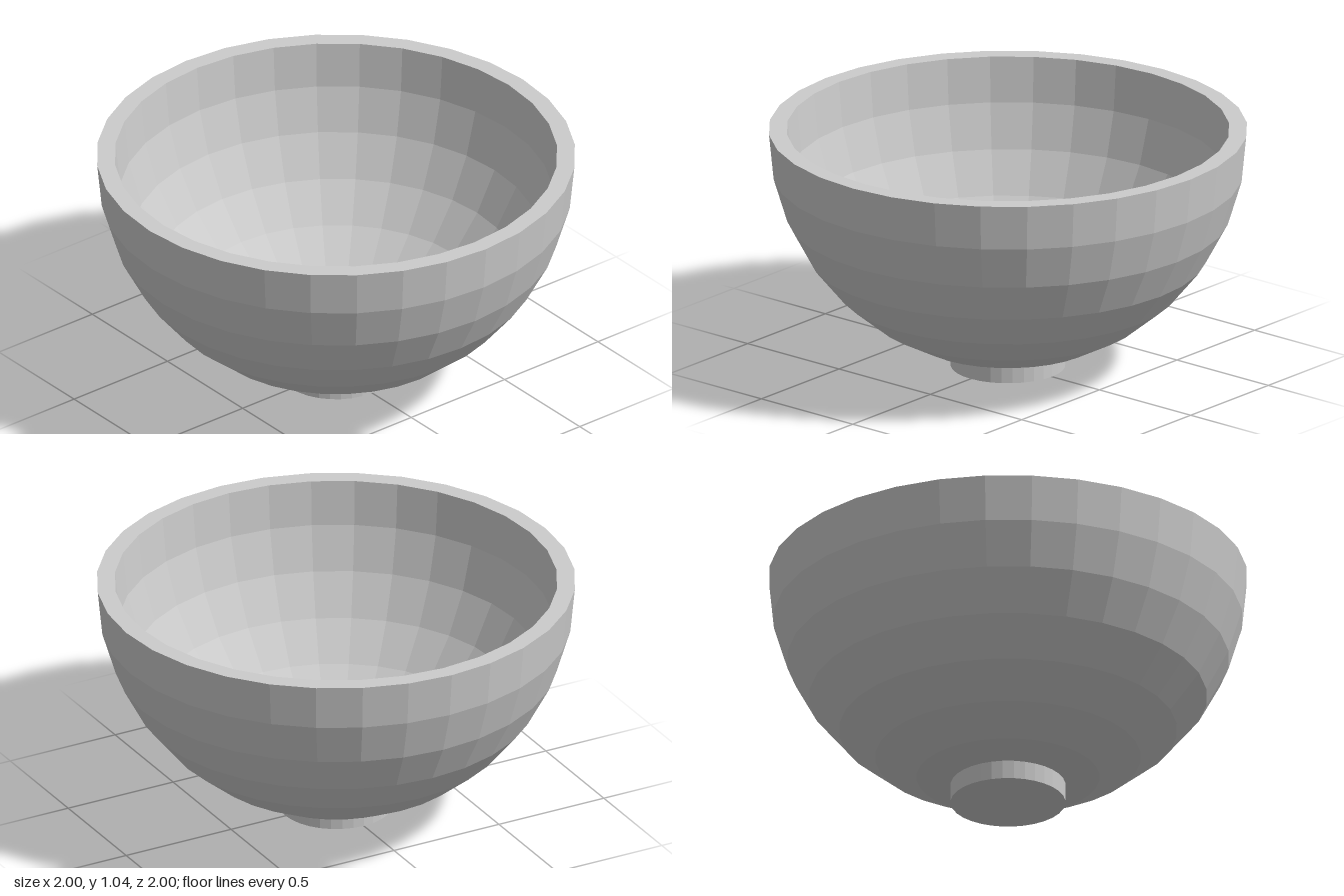
import * as THREE from 'three';

export function createModel() {
  const group = new THREE.Group();
  const material = new THREE.MeshStandardMaterial({ color: 0xcccccc, flatShading: true });

  const rimY = 1.04, wall = 0.075, footRadius = 0.24, footHeight = 0.08;
  const rings = 8;

  // Hemispherical wall, from low on the bowl up to the rim
  const outer = [];
  for (let i = 2; i <= rings; i++) {
    const a = (i / rings) * Math.PI / 2;
    outer.push(new THREE.Vector2(Math.sin(a), rimY - Math.cos(a)));
  }
  // Inner wall: the same rings moved inward by the wall thickness
  const inner = outer.map(p => new THREE.Vector2(p.x - wall, p.y)).reverse();
  inner[inner.length - 1].x = footRadius;

  // One closed profile: foot, outside, flat rim, inside, shallow floor
  const profile = [
    new THREE.Vector2(0, 0),
    new THREE.Vector2(footRadius, 0),
    new THREE.Vector2(footRadius, footHeight),
    ...outer,
    ...inner,
    new THREE.Vector2(0, footHeight),
  ];

  const bowl = new THREE.Mesh(new THREE.LatheGeometry(profile, 32), material);
  bowl.name = 'bowl';
  group.add(bowl);
  return group;
}
